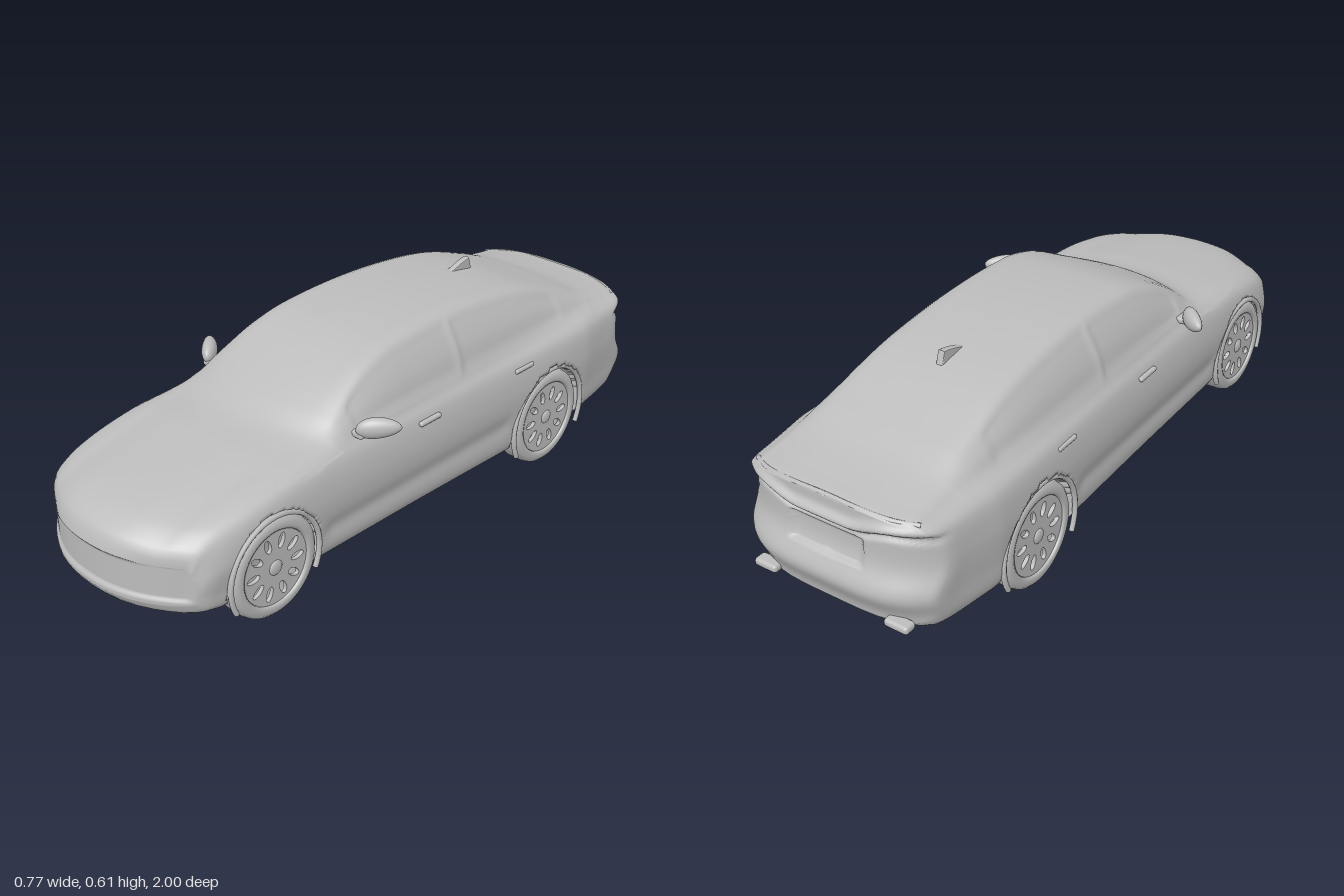
import * as THREE from 'three';
import { RoundedBoxGeometry } from 'three/addons/geometries/RoundedBoxGeometry.js';

const paint = new THREE.MeshStandardMaterial({ color: 0xbcbcbc });
paint.name = 'plain grey';

const step = (a, b, v) => THREE.MathUtils.smoothstep(a < b ? v : -v, Math.min(a, a < b ? a : -a), a < b ? b : -b);
const bump = (v, c, s) => Math.exp(-(((v - c) / s) ** 2));

// Stations: z, floor y, top y, half width, shoulder y, belt x, roof edge x
const STATIONS = [
  [-0.965, 0.125, 0.436, 0.305, 0.392, 0.262, 0.22],
  [-0.95, 0.108, 0.441, 0.312, 0.396, 0.262, 0.22],
  [-0.9, 0.098, 0.448, 0.318, 0.398, 0.262, 0.22],
  [-0.8, 0.093, 0.468, 0.328, 0.4, 0.265, 0.215],
  [-0.7, 0.09, 0.503, 0.335, 0.402, 0.273, 0.21],
  [-0.5, 0.09, 0.567, 0.335, 0.397, 0.284, 0.203],
  [-0.3, 0.092, 0.597, 0.331, 0.393, 0.288, 0.2],
  [-0.1, 0.097, 0.607, 0.329, 0.392, 0.29, 0.2],
  [0.1, 0.102, 0.596, 0.328, 0.39, 0.29, 0.205],
  [0.2, 0.104, 0.574, 0.328, 0.39, 0.29, 0.21],
  [0.3, 0.106, 0.535, 0.328, 0.39, 0.289, 0.22],
  [0.4, 0.108, 0.488, 0.328, 0.39, 0.288, 0.235],
  [0.48, 0.11, 0.446, 0.328, 0.389, 0.286, 0.23],
  [0.6, 0.115, 0.43, 0.327, 0.385, 0.285, 0.215],
  [0.8, 0.122, 0.402, 0.325, 0.365, 0.285, 0.2],
  [0.9, 0.13, 0.382, 0.322, 0.345, 0.285, 0.2],
  [0.95, 0.138, 0.362, 0.318, 0.325, 0.285, 0.2],
  [0.985, 0.15, 0.335, 0.311, 0.3, 0.285, 0.2],
  [1.0, 0.175, 0.3, 0.3, 0.265, 0.28, 0.2],
];
const ARCHES = [
  { name: 'front', z: 0.646, y: 0.188, arch: 0.156, tyre: 0.15, lipX: 0.321 },
  { name: 'rear', z: -0.507, y: 0.155, arch: 0.169, tyre: 0.155, lipX: 0.326 },
];

// Smooth interpolation of the station table
function station(z) {
  let i = 0;
  while (i < STATIONS.length - 2 && z > STATIONS[i + 1][0]) i++;
  const p = STATIONS[i], q = STATIONS[i + 1];
  const o = STATIONS[Math.max(0, i - 1)], r = STATIONS[Math.min(STATIONS.length - 1, i + 2)];
  const h = q[0] - p[0], t = (z - p[0]) / h;
  return p.map((v, k) => {
    const m0 = ((q[k] - o[k]) / (q[0] - o[0])) * h, m1 = ((r[k] - v) / (r[0] - p[0])) * h;
    return v * (1 + 2 * t) * (1 - t) ** 2 + m0 * t * (1 - t) ** 2
      + q[k] * t * t * (3 - 2 * t) + m1 * t * t * (t - 1);
  });
}

// Closed cross-section, counter-clockwise seen from the front
const SPLITS = [4, 3, 4, 10, 14, 8, 5, 6, 6, 4, 6];
function section(z) {
  const [, bot, top, w, ys, wb, wr] = station(z);
  const yr = top - 0.012, yb = ys + Math.min(0.035, 0.5 * (top - ys)), tall = ys - bot;
  const pts = [
    [0, bot], [0.6 * w, bot], [0.87 * w, bot + 0.003], [0.95 * w, bot + 0.1 * tall],
    [0.98 * w, bot + 0.35 * tall], [w, bot + 0.72 * tall], [0.95 * w, ys], [wb, yb],
    [(wb + wr) / 2 + 0.08 * (yr - yb), (yb + yr) / 2 + 0.004], [wr, yr], [0.6 * wr, top - 0.003], [0, top],
  ].map(([x, y]) => new THREE.Vector3(x, y, 0));
  const curve = new THREE.CatmullRomCurve3(pts, false, 'centripetal');
  const half = [];
  SPLITS.forEach((n, s) => {
    for (let k = 0; k < n; k++) half.push(curve.getPoint((s + k / n) / SPLITS.length));
  });
  half.push(pts[pts.length - 1]);
  const other = half.slice(1, -1).reverse().map((p) => new THREE.Vector3(-p.x, p.y, 0));
  return { ring: [...half, ...other], top };
}

// Surface rules: rounded ends, grille panel, tail shapes, glass, arches
function sculpt(x0, y, z0, top) {
  const a = Math.abs(x0);
  let x = a, z = z0;
  z -= 0.145 * (a / 0.32) ** 2.2 * step(0.5, 1, z0);
  z += 0.06 * (a / 0.28) ** 4 * step(0.6, 0.965, -z0);
  if (y > 0.4) z -= 0.06 * (a / 0.27) ** 2 * bump(z0, 0.45, 0.15);
  // Front grille panel
  const panel = step(0.285, 0.265, a) * step(0.185, 0.2, y) * step(0.3, 0.285, y);
  z -= 0.008 * panel * step(0.97, 1, z0);
  // Tail: lamp band, bumper, number plate recess
  const tail = step(0.92, 0.965, -z0);
  const lampY = 0.365 + 0.02 * step(0.08, 0.2, a);
  z -= tail * (0.016 * bump(y, lampY + 0.018, 0.014) + 0.035 * bump(y, 0.215, 0.055));
  z += tail * 0.012 * bump(y, lampY - 0.008, 0.008);
  z += tail * 0.012 * step(0.12, 0.105, a) * step(0.265, 0.275, y) * step(0.35, 0.34, y);
  // Side glass and lower door crease
  if (a > 0.15) {
    const glass = step(0.436, 0.446, y) * step(top - 0.022, top - 0.034, y)
      * step(-0.64, -0.6, z0) * step(0.36, 0.32, z0) * (1 - bump(z0, -0.13, 0.014));
    x -= 0.005 * glass;
    x -= 0.006 * bump(y, 0.21, 0.03) * step(-0.34, -0.28, z0) * step(0.49, 0.43, z0);
  }
  for (const w of ARCHES) if (Math.hypot(z - w.z, y - w.y) < w.arch) x = Math.min(x, 0.29);
  return [Math.sign(x0) * x, y, z];
}

function bodyGeometry() {
  const N = 240, CAP = 30, rows = [];
  const z0 = STATIONS[0][0], z1 = 1;
  const addRow = (z, scale) => {
    const { ring, top } = section(z);
    const cy = (ring[0].y + top) / 2;
    rows.push(ring.map((p) => sculpt(p.x * scale, cy + (p.y - cy) * scale, z, top)));
  };
  for (let k = 0; k < CAP; k++) addRow(z0, k / CAP);
  for (let k = 0; k <= N; k++) addRow(z0 + ((z1 - z0) * k) / N, 1);
  for (let k = CAP - 1; k >= 0; k--) addRow(z1, k / CAP);
  const M = rows[0].length, index = [];
  for (let i = 0; i < rows.length - 1; i++) {
    for (let j = 0; j < M; j++) {
      const a = i * M + j, b = i * M + ((j + 1) % M);
      index.push(a, b, a + M, b, b + M, a + M);
    }
  }
  const geo = new THREE.BufferGeometry();
  geo.setAttribute('position', new THREE.Float32BufferAttribute(rows.flat(2), 3));
  geo.setIndex(index);
  geo.computeVertexNormals();
  return geo;
}

function part(parent, name, geo, x = 0, y = 0, z = 0) {
  const mesh = new THREE.Mesh(geo, paint);
  mesh.name = name;
  mesh.position.set(x, y, z);
  parent.add(mesh);
}

// Wheel with its outer face towards +x
function makeWheel(r) {
  const wheel = new THREE.Group();
  const profile = [[0, -0.045], [r - 0.02, -0.045], [r - 0.005, -0.036], [r, -0.02], [r, 0.02], [r - 0.004, 0.035],
    [r - 0.014, 0.044], [r - 0.03, 0.046], [r - 0.039, 0.042], [r - 0.041, 0.015], [0, 0.015]];
  const tyre = new THREE.LatheGeometry(profile.map((p) => new THREE.Vector2(...p)), 56);
  part(wheel, 'tyre', tyre.rotateZ(-Math.PI / 2));
  const face = new THREE.Shape().absarc(0, 0, r - 0.04, 0, Math.PI * 2);
  for (let k = 0; k < 10; k++) {
    const t = (k / 10) * Math.PI * 2;
    const hole = new THREE.Path();
    hole.absellipse(Math.cos(t) * 0.077, Math.sin(t) * 0.077, 0.022, 0.011, 0, Math.PI * 2, true, t);
    face.holes.push(hole);
  }
  const rim = new THREE.ExtrudeGeometry(face, { depth: 0.012, bevelEnabled: false, curveSegments: 20 });
  part(wheel, 'rim', rim.rotateY(Math.PI / 2), 0.027);
  part(wheel, 'hub', new THREE.SphereGeometry(0.022, 20, 12).scale(0.35, 1, 1), 0.039);
  return wheel;
}

// Door mirror on side s, swept backwards towards its tip
function mirrorGeometry(s) {
  const geo = new THREE.SphereGeometry(1, 28, 18);
  const p = geo.attributes.position;
  for (let i = 0; i < p.count; i++) {
    const out = s * p.getX(i), taper = 1 - 0.22 * out;
    p.setXYZ(i, s * out * 0.047, p.getY(i) * 0.03 * taper + out * 0.003, p.getZ(i) * 0.03 * taper - out * 0.035);
  }
  geo.computeVertexNormals();
  return geo;
}

export function createModel() {
  const car = new THREE.Group();
  car.name = 'sedan';
  part(car, 'body', bodyGeometry());

  for (const s of [1, -1]) {
    const side = s > 0 ? 'left' : 'right';
    for (const w of ARCHES) {
      const wheel = makeWheel(w.tyre);
      wheel.name = `${side} ${w.name} wheel`;
      wheel.position.set(s * 0.28, w.y, w.z);
      if (s < 0) wheel.rotation.y = Math.PI;
      car.add(wheel);
      // Arch lip, open at the bottom
      const low = 0.46, lip = new THREE.TorusGeometry(w.arch, 0.008, 8, 56, Math.PI + 2 * low);
      part(car, `${side} ${w.name} arch lip`, lip.rotateZ(-low).rotateY(Math.PI / 2), s * w.lipX, w.y, w.z);
    }
    part(car, `${side} mirror`, mirrorGeometry(s), s * 0.338, 0.453, 0.278);
    part(car, `${side} mirror stalk`, new RoundedBoxGeometry(0.04, 0.02, 0.04, 3, 0.008), s * 0.296, 0.433, 0.305);
    for (const z of [0.05, -0.375]) {
      part(car, `${side} door handle`, new RoundedBoxGeometry(0.016, 0.014, 0.085, 3, 0.006), s * 0.32, 0.377, z);
    }
    part(car, `${side} exhaust`, new RoundedBoxGeometry(0.075, 0.024, 0.04, 3, 0.01), s * 0.215, 0.133, -0.962);
  }

  // Boot lip along the tail edge
  const lipPath = new THREE.CatmullRomCurve3([-0.26, -0.2, -0.1, 0, 0.1, 0.2, 0.26].map((x) =>
    new THREE.Vector3(x, 0.435 - 0.25 * x * x, -0.958 + 0.06 * (x / 0.28) ** 4)));
  part(car, 'boot lip', new THREE.TubeGeometry(lipPath, 40, 0.007, 8));

  // Roof antenna fin
  const fin = new THREE.Shape();
  fin.moveTo(0.06, 0).quadraticCurveTo(0, 0.026, -0.04, 0.031).lineTo(-0.05, 0).lineTo(0.06, 0);
  const finGeo = new THREE.ExtrudeGeometry(fin, { depth: 0.008, bevelSize: 0.004, bevelThickness: 0.007, bevelSegments: 3 });
  part(car, 'antenna fin', finGeo.translate(0, 0, -0.004).rotateY(-Math.PI / 2), 0, 0.571, -0.44);
  return car;
}
